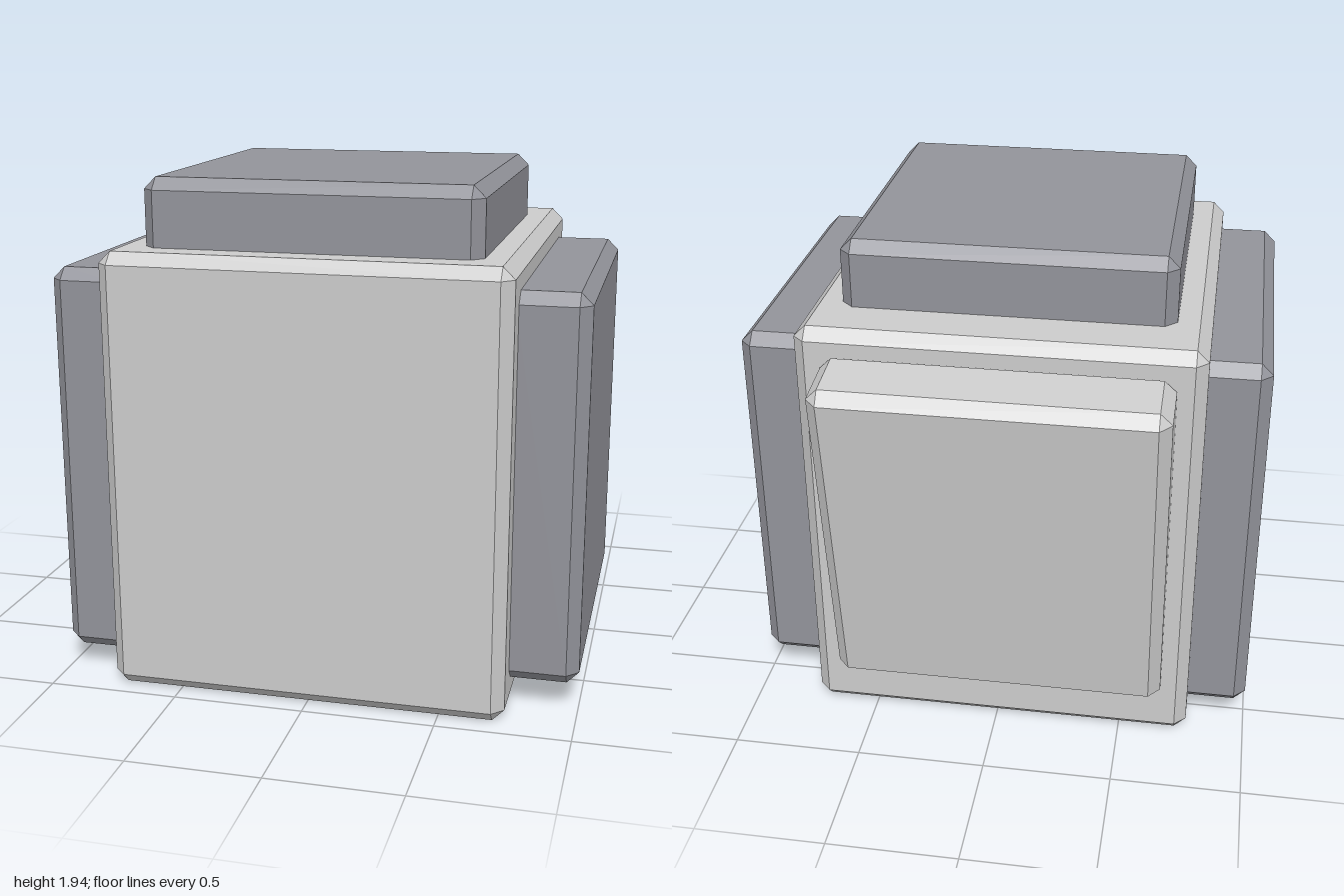
import * as THREE from 'three';
import { ConvexGeometry } from 'three/addons/geometries/ConvexGeometry.js';

const BEVEL = 0.045;

// Box with every edge cut at 45 degrees and a small triangle on each corner
function chamferedBox(w, h, d, b = BEVEL) {
  const points = [];
  for (const x of [-1, 1]) for (const y of [-1, 1]) for (const z of [-1, 1]) {
    const [X, Y, Z] = [x * w / 2, y * h / 2, z * d / 2];
    points.push(
      new THREE.Vector3(X, Y - y * b, Z - z * b),
      new THREE.Vector3(X - x * b, Y, Z - z * b),
      new THREE.Vector3(X - x * b, Y - y * b, Z)
    );
  }
  return new ConvexGeometry(points);
}

export function createModel() {
  const model = new THREE.Group();
  model.name = 'panelledBlock';
  const light = new THREE.MeshStandardMaterial({ color: 0xcccccc, flatShading: true });
  const slate = new THREE.MeshStandardMaterial({ color: 0x92939a, flatShading: true });

  // Adds a chamfered block filling the given ranges
  function block(name, material, [x0, x1], [y0, y1], [z0, z1]) {
    const mesh = new THREE.Mesh(chamferedBox(x1 - x0, y1 - y0, z1 - z0), material);
    mesh.position.set((x0 + x1) / 2, (y0 + y1) / 2, (z0 + z1) / 2);
    mesh.name = name;
    model.add(mesh);
  }

  block('body', light, [-0.77, 0.745], [0, 1.685], [-0.692, 0.95]);
  block('topPanel', slate, [-0.642, 0.617], [1.63, 1.94], [-0.46, 0.803]);
  block('leftPanel', slate, [0.69, 1], [0.11, 1.58], [-0.547, 0.803]);
  block('rightPanel', slate, [-1, -0.69], [0.088, 1.602], [-0.59, 0.842]);

  // Back panel, leaning away from the body at its top
  const back = new THREE.Mesh(chamferedBox(1.3, 1.383, 0.29), light);
  back.name = 'backPanel';
  back.position.set(-0.013, 0.89, -0.711);
  back.rotation.x = -0.14;
  model.add(back);

  return model;
}
